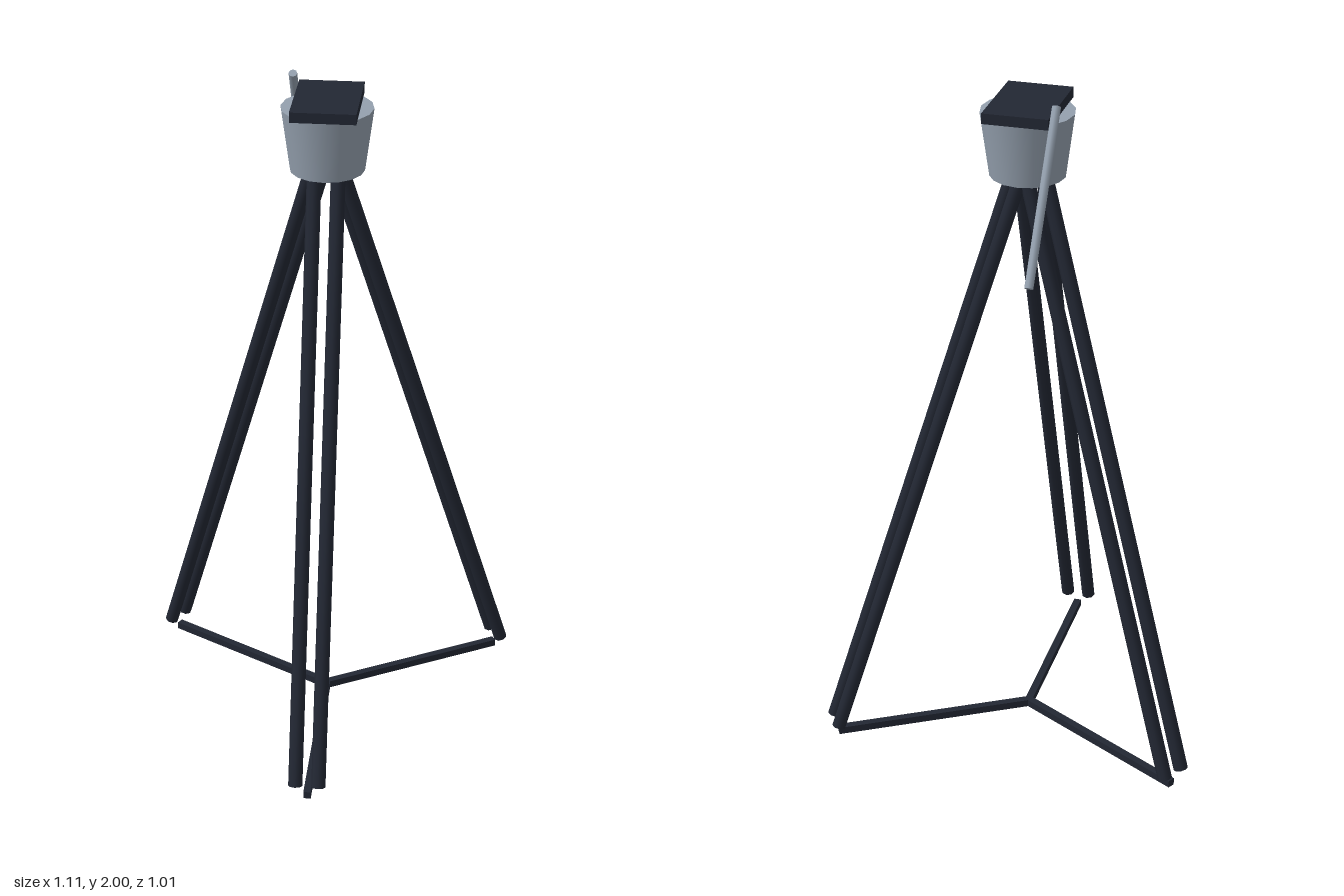
import * as THREE from 'three';

const dark = new THREE.MeshStandardMaterial({ color: 0x222733 });
const grey = new THREE.MeshStandardMaterial({ color: 0x94a0ae });
const CENTRE_Z = -0.112;

// Round rod between two points
function rod(name, a, b, radius, sides, material) {
  const dir = b.clone().sub(a);
  const mesh = new THREE.Mesh(new THREE.CylinderGeometry(radius, radius, dir.length(), sides), material);
  mesh.position.copy(a).add(b).multiplyScalar(0.5);
  mesh.quaternion.setFromUnitVectors(new THREE.Vector3(0, 1, 0), dir.normalize());
  mesh.name = name;
  return mesh;
}

export function createModel() {
  const model = new THREE.Group();
  model.name = 'tripod';
  const v = (x, y, z) => new THREE.Vector3(x, y, z);

  const stand = new THREE.Group();
  stand.name = 'stand';
  stand.position.z = CENTRE_Z;
  model.add(stand);

  // Three twin-tube legs, each with its floor spreader arm
  for (let i = 0; i < 3; i++) {
    const leg = new THREE.Group();
    leg.name = 'leg';
    leg.rotation.y = (i * Math.PI * 2) / 3;
    for (const x of [-0.034, 0.034]) {
      leg.add(rod('legTube', v(x, 0.047, 0.597), v(x, 1.77, 0.025), 0.021, 8, dark));
    }
    const arm = new THREE.Mesh(new THREE.BoxGeometry(0.022, 0.022, 0.592), dark);
    arm.name = 'spreaderArm';
    arm.position.set(0, 0.011, 0.296);
    leg.add(arm);
    stand.add(leg);
  }

  // Tapered head
  const head = new THREE.Mesh(new THREE.CylinderGeometry(0.132, 0.107, 0.185, 16), grey);
  head.name = 'head';
  head.position.y = 1.8425;
  stand.add(head);

  // Mounting plate
  const plate = new THREE.Mesh(new THREE.BoxGeometry(0.186, 0.03, 0.265), dark);
  plate.name = 'mountingPlate';
  plate.position.y = 1.949;
  stand.add(plate);

  // Pan handle sloping down at the back
  model.add(rod('panHandle', v(-0.108, 1.993, -0.215), v(-0.108, 1.584, -0.493), 0.0125, 8, grey));

  return model;
}
